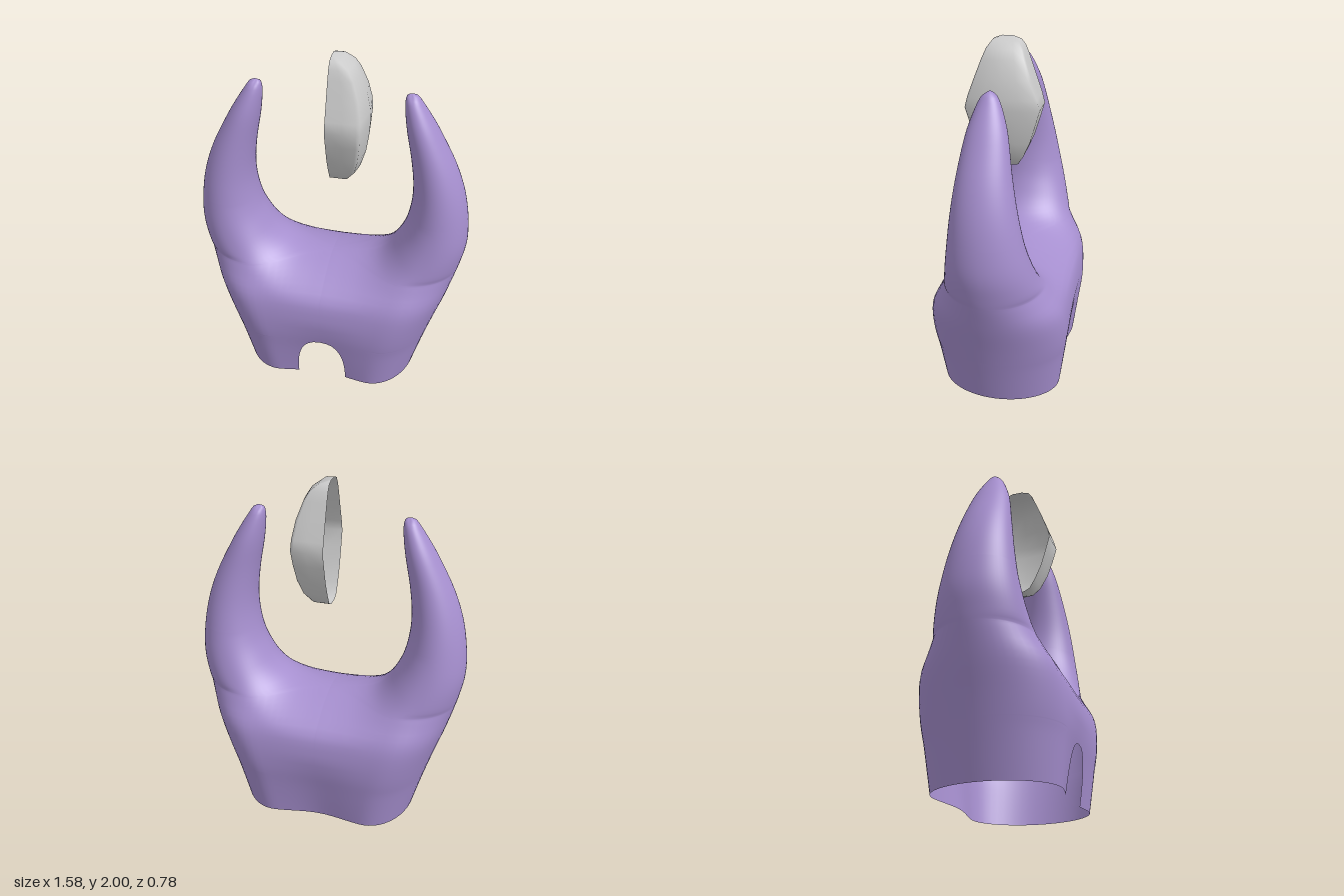
import * as THREE from 'three';
import { mergeGeometries, mergeVertices } from 'three/addons/utils/BufferGeometryUtils.js';

const SADDLE = 0.745, TIP = 1.82, DOOR = 0.3;

// Smooth polyline through [value, y] pairs, y rising
const spline = (pts) => new THREE.SplineCurve(pts.map(p => new THREE.Vector2(...p))).getPoints(160);

// Value of a polyline at height y
function at(line, y) {
  for (let i = 1; i < line.length; i++) {
    const a = line[i - 1], b = line[i];
    if (y <= b.y) return a.x + (b.x - a.x) * THREE.MathUtils.clamp((y - a.y) / (b.y - a.y || 1), 0, 1);
  }
  return line[line.length - 1].x;
}

// Outer and inner outline of one half, and half depth, all by height
const outer = spline([[0.53, 0], [0.585, 0.2], [0.645, 0.4], [0.71, 0.6], [0.765, 0.8], [0.788, 0.97],
  [0.76, 1.2], [0.695, 1.4], [0.592, 1.6], [0.532, 1.7], [0.485, 1.77], [0.455, 1.81], [0.42, TIP]]);
const inner = spline([[0, SADDLE], [0.1, 0.75], [0.2, 0.766], [0.28, 0.8], [0.34, 0.855], [0.385, 0.925],
  [0.43, 1.03], [0.457, 1.17], [0.459, 1.3], [0.44, 1.45], [0.41, 1.6], [0.395, 1.7], [0.39, 1.77], [0.398, 1.81], [0.42, TIP]]);
const depth = spline([[0.355, 0], [0.375, 0.2], [0.39, 0.36], [0.385, 0.5], [0.362, 0.6], [0.305, 0.7], [0.26, 0.8],
  [0.215, 1], [0.18, 1.2], [0.147, 1.4], [0.112, 1.6], [0.083, 1.7], [0.05, 1.78], [0.025, 1.81], [0, TIP]]);

// Distance from a point to the inner outline
function innerDistance(x, y) {
  let best = Infinity;
  for (let i = 1; i < inner.length; i++) {
    const a = inner[i - 1], b = inner[i], dx = b.x - a.x, dy = b.y - a.y;
    const t = THREE.MathUtils.clamp(((x - a.x) * dx + (y - a.y) * dy) / (dx * dx + dy * dy || 1), 0, 1);
    best = Math.min(best, Math.hypot(a.x + dx * t - x, a.y + dy * t - y));
  }
  return best < 1e-6 ? 0 : best;
}

// Quarter-round rise from 0 at an edge to 1 at distance r
function rounded(d, r) {
  const k = 1 - Math.min(Math.max(d, 0) / r, 1);
  return Math.sqrt(1 - k * k);
}

// Surface through rows of points
function grid(rows, flip) {
  const n = rows[0].length, index = [];
  for (let i = 0; i < rows.length - 1; i++) for (let j = 0; j < n - 1; j++) {
    const a = i * n + j, b = a + 1, c = a + n, d = c + 1;
    index.push(...(flip ? [a, c, b, b, c, d] : [a, b, c, b, d, c]));
  }
  const geo = new THREE.BufferGeometry();
  geo.setAttribute('position', new THREE.Float32BufferAttribute(rows.flat(2), 3));
  geo.setIndex(index);
  return geo;
}

function weld(parts) {
  const geo = mergeVertices(mergeGeometries(parts), 1e-4);
  geo.computeVertexNormals();
  return geo;
}

// Row heights, denser at the door top, the saddle and the horn tips
const heights = [0];
[[0, DOOR, 12], [DOOR, SADDLE, 18], [SADDLE, 1.1, 18], [1.1, TIP, 24]].forEach(([a, b, n]) => {
  for (let i = 1; i <= n; i++) heights.push(a + (b - a) * (1 - Math.cos(Math.PI * i / n)) / 2);
});

// One quarter of the body: side sx, front or back sz; the front leaves the doorway open
function quarter(sx, sz) {
  const N = 28;
  const rows = heights.map(y => {
    const xo = at(outer, y), xi = y > SADDLE ? at(inner, y) : 0;
    const door = sz > 0 && y < DOOR ? 0.147 * Math.pow(1 - Math.pow(y / DOOR, 2.6), 0.4) : 0;
    const x0 = Math.max(xi, door), half = Math.max((xo - xi) / 2, 1e-4);
    const shift = 0.028 * THREE.MathUtils.smoothstep(y, 0.6, 1.5);
    return Array.from({ length: N + 1 }, (_, j) => {
      const x = x0 + (xo - x0) * (1 - Math.cos(Math.PI * j / N)) / 2;
      const dent = 1 - 0.13 * Math.exp(-((x / 0.22) ** 2)) * Math.max(0, 1 - y / 0.45);
      const z = at(depth, y) * dent * rounded(xo - x, Math.min(half, 0.3))
        * rounded(innerDistance(x, y), Math.min(half, 0.17));
      return [sx * x, y, sz * z + shift];
    });
  });
  return grid(rows, sx * sz < 0);
}

// Half shell floating between the horns, open towards -x: [height, depth in x, half width in z]
function halfShell() {
  const sections = [[1.28, 0, 0.02], [1.282, 0.05, 0.04], [1.3, 0.11, 0.075], [1.36, 0.16, 0.11], [1.45, 0.188, 0.15],
    [1.55, 0.203, 0.18], [1.64, 0.21, 0.205], [1.7, 0.207, 0.19], [1.8, 0.187, 0.155], [1.9, 0.148, 0.12],
    [1.95, 0.115, 0.1], [1.985, 0.065, 0.075], [2, 0, 0.03]];
  const outline = [[0, 1], [0.45, 1], [0.8, 1], [0.89, 0.93], [0.95, 0.5], [1, 0]];
  const loop = [...outline, ...outline.slice(0, -1).reverse().map(([x, z]) => [x, -z])];
  return weld([grid(sections.map(([y, d, w]) => loop.map(([x, z]) => [x * d, y, z * w + 0.025])), false)]);
}

export function createModel() {
  const group = new THREE.Group();
  const add = (name, geo, color) => {
    const mesh = new THREE.Mesh(geo, new THREE.MeshStandardMaterial({ color, side: THREE.DoubleSide }));
    mesh.name = name;
    group.add(mesh);
  };
  add('hornedBody', weld([quarter(1, 1), quarter(-1, 1), quarter(1, -1), quarter(-1, -1)]), 0xa68fcf);
  add('floatingHalfShell', halfShell(), 0xcccccc);
  return group;
}
